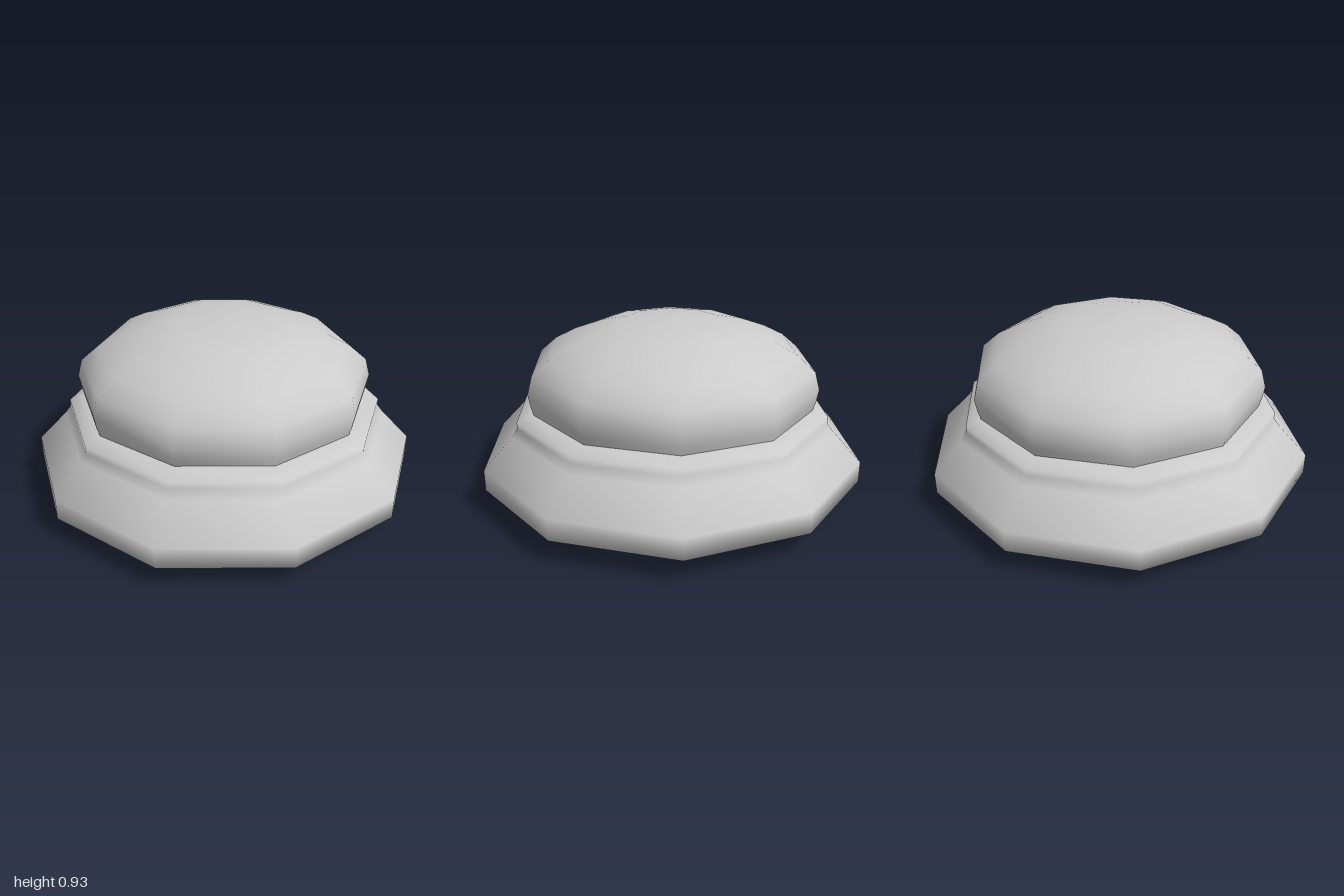
import * as THREE from 'three';

const SIDES = 10;

// Ten-sided turned part from a bottom-to-top [radius, height] profile
function turned(name, profile, material) {
  const points = profile.map(([r, y]) => new THREE.Vector2(r, y));
  const mesh = new THREE.Mesh(new THREE.LatheGeometry(points, SIDES), material);
  mesh.name = name;
  return mesh;
}

export function createModel() {
  const group = new THREE.Group();
  group.name = 'domedButton';
  const grey = new THREE.MeshStandardMaterial({ color: 0xcccccc });

  // Flared base: shallow pointed underside, wide rim, necked collar and ledge
  group.add(turned('base', [
    [0, 0], [0.82, 0.045], [1, 0.12], [1, 0.228], [0.85, 0.385],
    [0.82, 0.425], [0.82, 0.46], [0.745, 0.488], [0.7, 0.488],
  ], grey));

  // Rounded cap rising from the collar
  const cap = turned('cap', [
    [0.735, 0.48], [0.75, 0.53], [0.762, 0.6], [0.738, 0.69], [0.645, 0.77],
    [0.53, 0.83], [0.39, 0.882], [0.24, 0.913], [0, 0.925],
  ], grey);
  cap.position.z = -0.006;
  group.add(cap);

  return group;
}
